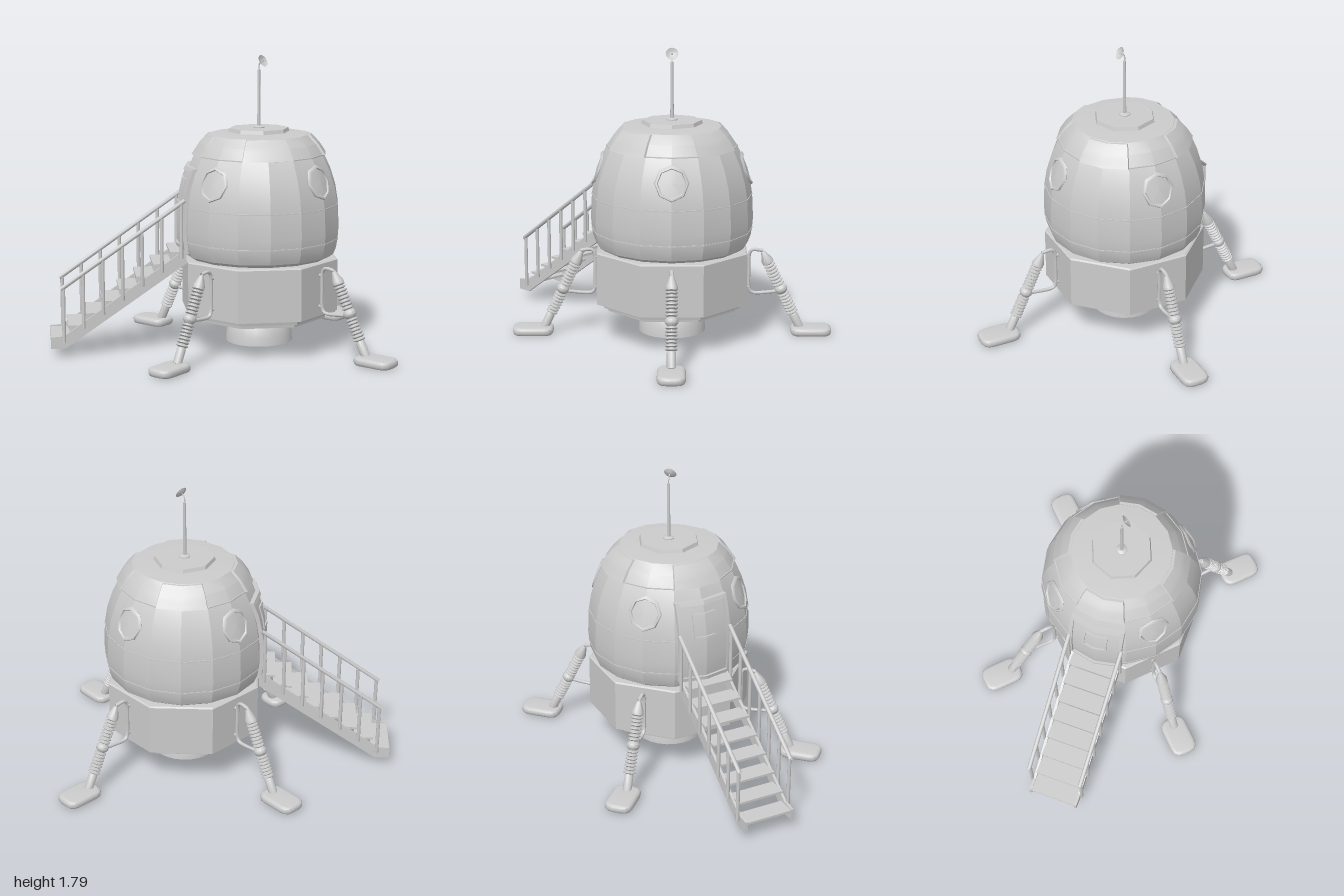
import * as THREE from 'three';
import { toCreasedNormals } from 'three/addons/utils/BufferGeometryUtils.js';

const material = new THREE.MeshStandardMaterial({ color: 0xcccccc, side: THREE.DoubleSide });
const V = (x, y, z) => new THREE.Vector3(x, y, z);

function add(parent, name, geometry, crease = 0.35) {
  const mesh = new THREE.Mesh(toCreasedNormals(geometry, crease), material);
  mesh.name = name;
  parent.add(mesh);
  return mesh;
}

// A group whose local +z points outwards at the given angle
function outward(parent, name, angle) {
  const g = new THREE.Group();
  g.name = name;
  g.rotation.y = angle;
  parent.add(g);
  return g;
}

function lathe(points, sides, start = 0) {
  return new THREE.LatheGeometry(points.map(([r, y]) => new THREE.Vector2(r, y)), sides, start);
}

function rod(parent, name, a, b, radius) {
  return add(parent, name, new THREE.TubeGeometry(new THREE.LineCurve3(a, b), 1, radius, 8), 1);
}

// Cabin outline: radius, height
const skin = [[0.435, 0.577], [0.465, 0.597], [0.482, 0.64], [0.49, 0.69], [0.495, 0.75], [0.488, 0.9],
  [0.472, 1.0], [0.441, 1.1], [0.395, 1.2], [0.352, 1.265], [0.3, 1.318]];

function skinRadius(y) {
  const i = Math.max(1, Math.min(skin.length - 1, skin.findIndex((p) => p[1] >= y)));
  const [r0, y0] = skin[i - 1], [r1, y1] = skin[i];
  return r0 + (r1 - r0) * (y - y0) / (y1 - y0);
}

// Lay a flat piece (y absolute, z as height above the skin) onto the faceted cabin
function wrap(geometry, fitWidth = false) {
  const p = geometry.attributes.position;
  for (let i = 0; i < p.count; i++) {
    const r = skinRadius(p.getY(i));
    const x = fitWidth ? p.getX(i) * r : p.getX(i);
    p.setXYZ(i, x, p.getY(i), p.getZ(i) + r - Math.abs(x) * Math.tan(Math.PI / 16));
  }
  return geometry;
}

function wrappedBox(parent, name, x0, x1, y0, y1, depth, fitWidth) {
  const g = new THREE.BoxGeometry(x1 - x0, y1 - y0, depth, 2, 6, 1);
  g.translate((x0 + x1) / 2, (y0 + y1) / 2, 0);
  return add(parent, name, wrap(g, fitWidth));
}

function buildCabin(ship) {
  add(ship, 'cabinShell', lathe([[0, 0.577], ...skin, [0, 1.338]], 16));
  // Thin seams around the cabin
  for (const y of [0.69, 0.9, 1.2]) {
    const r = skinRadius(y);
    add(ship, 'cabinSeam', lathe([[r - 0.01, y - 0.004], [r + 0.003, y - 0.003], [r + 0.003, y + 0.003], [r - 0.01, y + 0.004]], 16));
  }
  // Portholes on the four sides, raised roof panels between them
  for (let i = 0; i < 4; i++) {
    const a = i * Math.PI / 2;
    const porthole = outward(ship, 'porthole', a);
    const ring = new THREE.TorusGeometry(0.092, 0.011, 6, 8).translate(0, 1.06, 0.004);
    add(porthole, 'portholeRim', wrap(ring), 0.9);
    add(porthole, 'portholeGlass', wrap(new THREE.CircleGeometry(0.09, 8).translate(0, 1.06, 0.004)));
    const half = Math.sin(Math.PI / 8);
    wrappedBox(outward(ship, 'roofPanel', a + Math.PI / 4), 'panel', -half, half, 1.2, 1.316, 0.034, true);
  }
  // Roof hatch
  const hatch = new THREE.CylinderGeometry(0.18, 0.187, 0.022, 8);
  add(ship, 'roofHatch', hatch.translate(0, 1.343, 0));
}

function buildDoor(ship) {
  const door = outward(ship, 'door', -Math.PI / 4);
  wrappedBox(door, 'doorPanel', -0.15, 0.15, 0.65, 1.11, 0.02);
  function frame(name, w, y0, y1, t, depth) {
    wrappedBox(door, name, -w, -w + t, y0, y1, depth);
    wrappedBox(door, name, w - t, w, y0, y1, depth);
    wrappedBox(door, name, -w + t, w - t, y1 - t, y1, depth);
    wrappedBox(door, name, -w + t, w - t, y0, y0 + t, depth);
  }
  frame('doorFrame', 0.168, 0.64, 1.132, 0.022, 0.05);
  frame('doorWindowFrame', 0.075, 0.91, 1.06, 0.012, 0.036);
}

function buildBase(ship) {
  const k = 1 / Math.cos(Math.PI / 8);
  const hull = [[0, 0.215], [0.345, 0.215], [0.35, 0.2], [0.385, 0.2], [0.388, 0.222], [0.41, 0.222], [0.415, 0.243],
    [0.455, 0.25], [0.455, 0.565], [0.445, 0.572], [0, 0.578]];
  add(ship, 'baseHull', lathe(hull.map(([r, y]) => [r * k, y]), 8, Math.PI / 8));
  // Engine bell with a hollow inside
  add(ship, 'engineBell', lathe([[0, 0.17], [0.11, 0.155], [0.165, 0.11], [0.192, 0.045], [0.206, 0.04],
    [0.202, 0.09], [0.188, 0.14], [0.168, 0.18], [0.145, 0.22]], 24), 0.7);
}

function buildLeg(ship, angle) {
  const leg = outward(ship, 'landingLeg', angle);
  // Strut with two ribbed sleeves, a joint and a pointed top
  const profile = [[0, 0], [0.027, 0], [0.027, 0.09]];
  const ribs = (from, to, n) => {
    for (let i = 0; i < n; i++) {
      const step = (to - from) / n, t = from + i * step;
      profile.push([0.022, t], [0.036, t + step * 0.3], [0.036, t + step * 0.6], [0.022, t + step * 0.9]);
    }
  };
  ribs(0.1, 0.245, 7);
  profile.push([0.03, 0.25], [0.039, 0.262], [0.039, 0.28], [0.03, 0.292]);
  ribs(0.298, 0.45, 7);
  profile.push([0.036, 0.455], [0.036, 0.475], [0.013, 0.535], [0, 0.54]);
  const strut = add(leg, 'strut', lathe(profile, 12), 0.7);
  strut.position.set(0, 0.05, 0.79);
  strut.rotation.x = -Math.atan2(0.235, 0.49);
  // Bracket pipe joining the strut to the hull
  const path = [[0.56, 0.54], [0.495, 0.545], [0.478, 0.528], [0.472, 0.41], [0.478, 0.29], [0.495, 0.273], [0.66, 0.28]];
  const curve = new THREE.CatmullRomCurve3(path.map(([z, y]) => V(0, y, z)));
  add(leg, 'bracketPipe', new THREE.TubeGeometry(curve, 40, 0.011, 8), 1);
  for (const y of [0.5, 0.31]) rod(leg, 'bracketMount', V(0, y, 0.44), V(0, y, 0.477), 0.011);
  // Rounded foot pad
  const w = 0.063, d = 0.106, c = 0.04;
  const s = new THREE.Shape();
  s.moveTo(-w + c, -d).lineTo(w - c, -d).quadraticCurveTo(w, -d, w, -d + c).lineTo(w, d - c)
    .quadraticCurveTo(w, d, w - c, d).lineTo(-w + c, d).quadraticCurveTo(-w, d, -w, d - c)
    .lineTo(-w, -d + c).quadraticCurveTo(-w, -d, -w + c, -d);
  const pad = new THREE.ExtrudeGeometry(s, { depth: 0.01, bevelSize: 0.02, bevelThickness: 0.02, bevelSegments: 3, curveSegments: 3 });
  add(leg, 'footPad', pad.rotateX(-Math.PI / 2).translate(0, 0.027, 0.86), 0.7);
}

function buildStairs(ship) {
  const stairs = outward(ship, 'stairs', -Math.PI / 4);
  const side = new THREE.Shape([[1.28, 0.06], [1.28, 0.13], [1.2, 0.135], [0.46, 0.65], [0.46, 0.56], [1.19, 0.06]]
    .map(([z, y]) => new THREE.Vector2(z, y)));
  for (const m of [-1, 1]) {
    const stringer = new THREE.ExtrudeGeometry(side, { depth: 0.016, bevelEnabled: false });
    add(stairs, 'stringer', stringer.rotateY(-Math.PI / 2).translate(m * 0.15 + 0.008, 0, 0));
    // Handrail with posts
    const x = m * 0.166;
    rod(stairs, 'handrail', V(x, 0.425, 1.215), V(x, 0.945, 0.47), 0.013);
    for (let i = 0; i < 7; i++) {
      const z = 1.2 - i * 0.118, y = 0.1 + i * 0.082;
      rod(stairs, 'handrailPost', V(x, y, z), V(x, y + 0.335, z), 0.011);
    }
  }
  for (let i = 0; i < 8; i++) {
    const tread = new THREE.BoxGeometry(0.29, 0.014, 0.115);
    add(stairs, 'tread', tread.translate(0, 0.118 + i * 0.072, 1.222 - i * 0.103));
  }
}

function buildAntenna(ship) {
  add(ship, 'antennaBase', lathe([[0.034, 1.35], [0.034, 1.36], [0.016, 1.368], [0, 1.368]], 12));
  add(ship, 'antennaMast', lathe([[0.011, 1.35], [0.009, 1.705], [0, 1.708]], 8), 1);
  const neck = new THREE.CatmullRomCurve3([V(0, 1.7, 0), V(0, 1.73, 0), V(0.006, 1.746, 0), V(0.022, 1.756, 0)]);
  add(ship, 'antennaNeck', new THREE.TubeGeometry(neck, 10, 0.004, 6), 1);
  // Tilted dish with a small feed
  const dish = new THREE.Group();
  dish.name = 'dish';
  dish.position.set(0.018, 1.753, 0);
  dish.rotation.z = -1.08;
  ship.add(dish);
  add(dish, 'dishBowl', lathe([[0, 0], [0.02, 0.004], [0.038, 0.014]], 16), 0.7);
  add(dish, 'dishFeed', lathe([[0.005, 0], [0.002, 0.026], [0, 0.027]], 6), 1);
}

export function createModel() {
  const model = new THREE.Group();
  model.name = 'lander';
  const ship = new THREE.Group();
  ship.name = 'ship';
  ship.position.set(0.01, 0, -0.015);
  model.add(ship);
  buildCabin(ship);
  buildDoor(ship);
  buildBase(ship);
  for (let i = 0; i < 4; i++) buildLeg(ship, i * Math.PI / 2);
  buildStairs(ship);
  buildAntenna(ship);
  return model;
}
